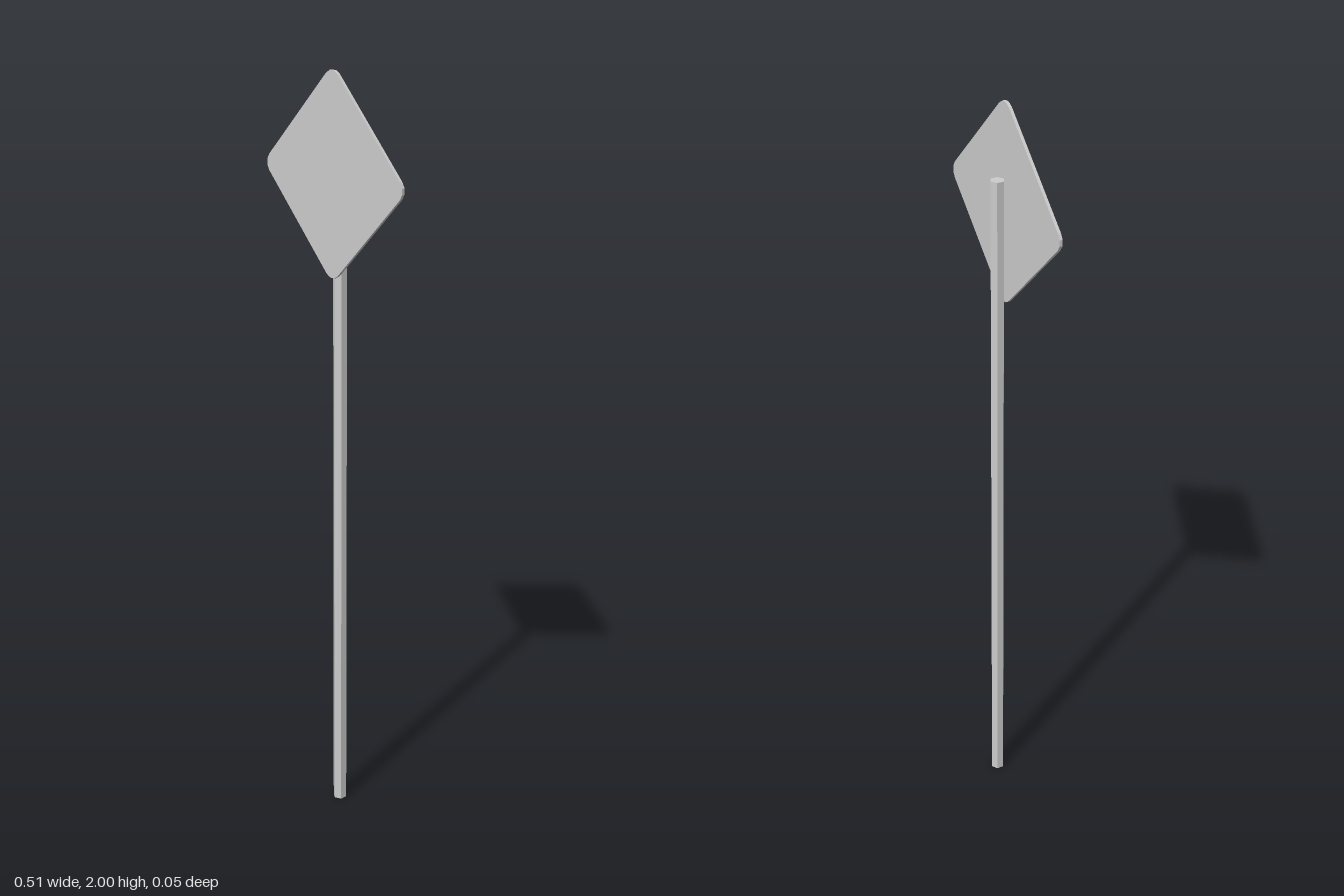
import * as THREE from 'three';

export function createModel() {
  const group = new THREE.Group();
  group.name = 'signPost';
  const material = new THREE.MeshStandardMaterial({ color: 0xcccccc, flatShading: true });

  // Six-sided post with an edge towards the front
  const postHeight = 1.81;
  const post = new THREE.Mesh(new THREE.CylinderGeometry(0.0185, 0.0185, postHeight, 6), material);
  post.name = 'post';
  post.position.set(0, postHeight / 2, -0.004);
  group.add(post);

  // Thin diamond plate; each corner is rounded by three short facets
  const reach = 0.256, radius = 0.03, facets = 3, thickness = 0.008;
  const centre = reach - radius * Math.cos(Math.PI / 4 / facets);
  const points = [];
  for (let corner = 0; corner < 4; corner++) {
    const angle = corner * Math.PI / 2;
    for (let i = 0; i <= facets; i++) {
      const a = angle + (i / facets - 0.5) * Math.PI / 2;
      points.push(new THREE.Vector2(
        centre * Math.cos(angle) + radius * Math.cos(a),
        centre * Math.sin(angle) + radius * Math.sin(a)
      ));
    }
  }
  const plate = new THREE.Mesh(
    new THREE.ExtrudeGeometry(new THREE.Shape(points), { depth: thickness, bevelEnabled: false }),
    material
  );
  plate.name = 'signPlate';
  plate.position.set(0, 2 - reach, 0.0145);
  group.add(plate);

  return group;
}
